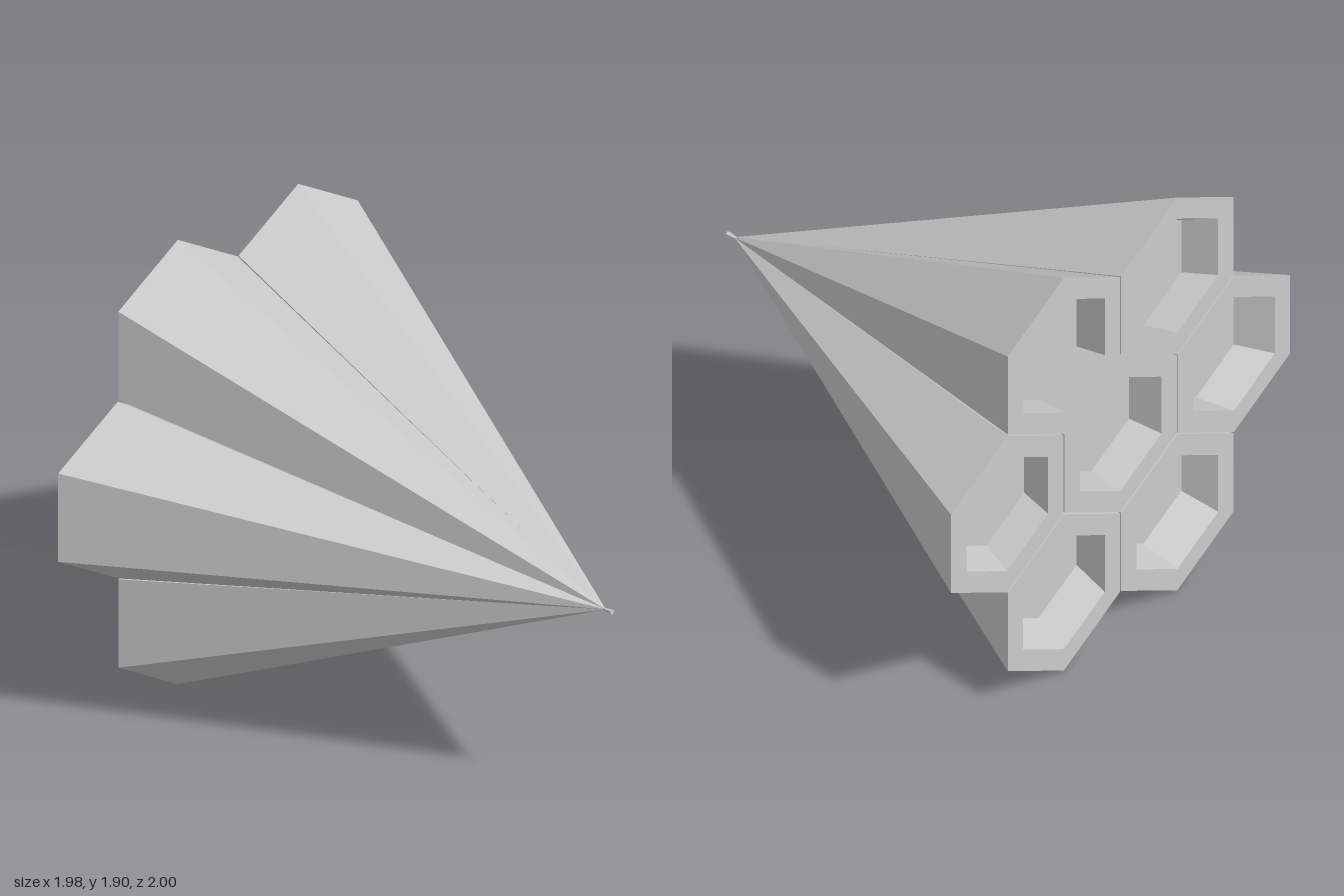
import * as THREE from 'three';

const APEX = new THREE.Vector3(-0.012, 0.895, 0.965);
const RADIUS = 0.378, INNER = 0.275, BACK = -1, DEPTH = 0.15, MID_Y = 0.952;

// Hexagon ring with a point at the top
function hexRing(x, y, z, r) {
  return Array.from({ length: 6 }, (_, j) => {
    const a = Math.PI / 6 + j * Math.PI / 3;
    return [x + r * Math.cos(a), y + r * Math.sin(a), z];
  });
}

// Flat-faced skin through successive rings
function loft(rings) {
  const pos = [];
  for (let i = 0; i < rings.length - 1; i++) {
    for (let j = 0; j < 6; j++) {
      const k = (j + 1) % 6, a = rings[i], b = rings[i + 1];
      pos.push(...a[j], ...b[j], ...b[k], ...a[j], ...b[k], ...a[k]);
    }
  }
  const geo = new THREE.BufferGeometry();
  geo.setAttribute('position', new THREE.Float32BufferAttribute(pos, 3));
  geo.computeVertexNormals();
  return geo;
}

export function createModel() {
  const group = new THREE.Group();
  const material = new THREE.MeshStandardMaterial({ color: 0xcccccc, flatShading: true, side: THREE.DoubleSide });
  const add = (name, geo) => {
    const mesh = new THREE.Mesh(geo, material);
    mesh.name = name;
    group.add(mesh);
    return mesh;
  };

  // One cell: spike from the apex, flat rim, and a pit that narrows toward the apex
  const cell = (name, x, y) => {
    const t = DEPTH / (APEX.z - BACK);
    const fx = x + (APEX.x - x) * t, fy = y + (APEX.y - y) * t, fz = BACK + DEPTH;
    add(name, loft([
      hexRing(APEX.x, APEX.y, APEX.z, 0.001),
      hexRing(x, y, BACK, RADIUS),
      hexRing(x, y, BACK, INNER),
      hexRing(fx, fy, fz, INNER * (1 - t)),
      hexRing(fx, fy, fz, 0.0005),
    ]));
  };

  // Centre cell with six around it
  cell('centreCell', 0, MID_Y);
  for (let i = 0; i < 6; i++) {
    const a = i * Math.PI / 3;
    cell('outerCell' + (i + 1), 0.661 * Math.cos(a), MID_Y + 0.661 * Math.sin(a));
  }

  // Small flared tip where the spikes meet
  const tip = add('tip', new THREE.CylinderGeometry(0.011, 0.005, 0.05, 6).rotateX(Math.PI / 2));
  tip.position.set(APEX.x, APEX.y, 0.975);
  return group;
}
